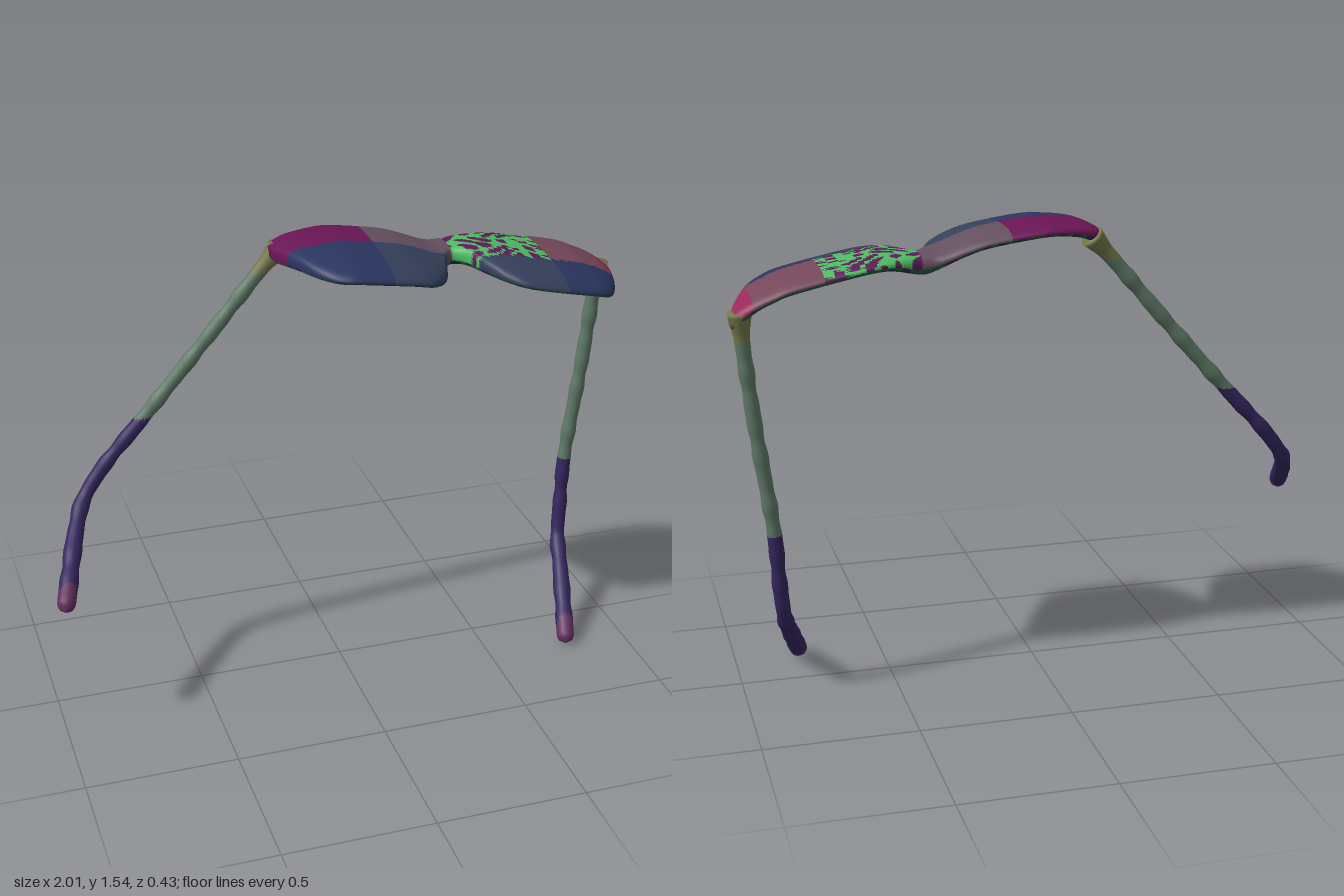
import * as THREE from 'three';

// Closed skin over a list of point rings, capped at both ends, facing outwards
function loft(rings) {
  const n = rings[0].length, pos = [], idx = [];
  rings.forEach(r => r.forEach(p => pos.push(p.x, p.y, p.z)));
  for (let i = 0; i < rings.length - 1; i++) {
    for (let j = 0; j < n; j++) {
      const a = i * n + j, b = i * n + (j + 1) % n;
      idx.push(a, b, a + n, b, b + n, a + n);
    }
  }
  [0, rings.length - 1].forEach((i, end) => {
    const c = new THREE.Vector3();
    rings[i].forEach(p => c.addScaledVector(p, 1 / n));
    const ci = pos.length / 3;
    pos.push(c.x, c.y, c.z);
    for (let j = 0; j < n; j++) {
      const a = i * n + j, b = i * n + (j + 1) % n;
      end ? idx.push(ci, a, b) : idx.push(ci, b, a);
    }
  });
  // signed volume tells whether the winding must be turned round
  const P = k => new THREE.Vector3().fromArray(pos, 3 * k);
  let volume = 0;
  for (let k = 0; k < idx.length; k += 3) {
    volume += P(idx[k]).dot(P(idx[k + 1]).cross(P(idx[k + 2])));
  }
  if (volume < 0) idx.reverse();
  const g = new THREE.BufferGeometry();
  g.setAttribute('position', new THREE.Float32BufferAttribute(pos, 3));
  g.setIndex(idx);
  g.computeVertexNormals();
  return g;
}

// Split a smooth skin into coloured patches that share its normals
function patches(geometry, zoneOf, zones, name) {
  const group = new THREE.Group();
  group.name = name;
  const pos = geometry.attributes.position, nor = geometry.attributes.normal;
  const src = geometry.index.array, lists = {};
  const c = new THREE.Vector3(), m = new THREE.Vector3(), v = new THREE.Vector3();
  for (let k = 0; k < src.length; k += 3) {
    c.set(0, 0, 0);
    m.set(0, 0, 0);
    for (let e = 0; e < 3; e++) {
      c.add(v.fromBufferAttribute(pos, src[k + e]));
      m.add(v.fromBufferAttribute(nor, src[k + e]));
    }
    const zone = zoneOf(c.divideScalar(3), m.normalize());
    (lists[zone] ||= []).push(src[k], src[k + 1], src[k + 2]);
  }
  for (const zone in lists) {
    const g = new THREE.BufferGeometry();
    g.setAttribute('position', pos);
    g.setAttribute('normal', nor);
    g.setIndex(lists[zone]);
    const mesh = new THREE.Mesh(g, new THREE.MeshStandardMaterial({ color: zones[zone] }));
    mesh.name = zone;
    group.add(mesh);
  }
  return group;
}

// Lens plate stations: x, back z, front z, crown height, thickness
const STATIONS = [
  [-0.195, -0.165, -0.12, 1.505, 0.03], [-0.18, -0.18, -0.06, 1.518, 0.05],
  [-0.14, -0.195, 0.06, 1.535, 0.05], [-0.1, -0.202, 0.14, 1.542, 0.047],
  [-0.05, -0.212, 0.188, 1.546, 0.045], [0.02, -0.218, 0.206, 1.546, 0.045],
  [0.18, -0.21, 0.206, 1.522, 0.046], [0.26, -0.2, 0.185, 1.498, 0.048],
  [0.32, -0.19, 0.12, 1.475, 0.052], [0.355, -0.182, 0.03, 1.466, 0.058],
  [0.38, -0.18, -0.03, 1.464, 0.062], [0.405, -0.18, -0.045, 1.464, 0.062],
  [0.44, -0.185, -0.01, 1.468, 0.06], [0.475, -0.192, 0.08, 1.469, 0.055],
  [0.52, -0.2, 0.155, 1.467, 0.05], [0.6, -0.213, 0.202, 1.455, 0.046],
  [0.8, -0.214, 0.206, 1.412, 0.046], [0.87, -0.207, 0.18, 1.386, 0.047],
  [0.92, -0.198, 0.1, 1.362, 0.049], [0.965, -0.186, -0.02, 1.332, 0.052],
  [0.99, -0.172, -0.1, 1.31, 0.045], [0.998, -0.155, -0.12, 1.298, 0.025],
];

const LENS_ZONES = {
  outerPurplePanel: 0x6a1655, innerMauvePanel: 0x64505f, lowerBluePanel: 0x2b3560,
  lowerSlatePanel: 0x35405c, greenMottle: 0x4dbb62, purpleMottle: 0x5d1a58,
  rosePanel: 0x75485a, cornerPink: 0x9a2858, underside: 0x245a40, undersideMottle: 0x38264f,
};

function lensZone(c, n) {
  const mottle = Math.sin(62 * c.x + 2 * Math.sin(40 * c.z)) * Math.sin(70 * c.z + 2 * Math.sin(33 * c.x));
  if (n.y < -0.25) return mottle > 0.4 ? 'undersideMottle' : 'underside';
  if (c.x < 0.4) {
    if (c.z > -0.02) return c.x < 0.12 ? 'lowerBluePanel' : 'lowerSlatePanel';
    return c.x < 0.12 ? 'outerPurplePanel' : 'innerMauvePanel';
  }
  if (c.z > 0.04) return c.x < 0.7 ? 'lowerSlatePanel' : 'lowerBluePanel';
  if (c.x < 0.7) return mottle > -0.1 ? 'greenMottle' : 'purpleMottle';
  return c.x > 0.93 ? 'cornerPink' : 'rosePanel';
}

// Thin curved plate holding both lenses and the bridge
function lensPlate() {
  const outline = new THREE.CatmullRomCurve3(
    STATIONS.map(s => new THREE.Vector3(s[0], s[1], s[2])), false, 'catmullrom', 0.5);
  const section = new THREE.CatmullRomCurve3(
    STATIONS.map(s => new THREE.Vector3(s[3], s[4], 0)), false, 'catmullrom', 0.5);
  const rings = [], steps = 150, half = 36;
  for (let i = 0; i <= steps; i++) {
    const o = outline.getPoint(i / steps), s = section.getPoint(i / steps), ring = [];
    for (let j = 0; j < 2 * half; j++) {
      const a = Math.PI * j / half, u = Math.cos(a);
      const z = (o.y + o.z) / 2 + u * (o.z - o.y) / 2;
      const bulge = Math.sqrt(Math.max(0, 1 - u ** 6)) * Math.sign(Math.sin(a));
      const crown = 0.035 * ((z + 0.1) / 0.3) ** 2;
      ring.push(new THREE.Vector3(o.x, s.x - crown - s.y / 2 + bulge * s.y / 2, z));
    }
    rings.push(ring);
  }
  return patches(loft(rings), lensZone, LENS_ZONES, 'lensPlate');
}

const ARM_ZONES = { hinge: 0x74784a, templeArm: 0x5f7867, earSleeve: 0x35275f, earTip: 0x63305f };

// Slightly uneven temple arm, flared at the hinge and rounded at the tip
function temple(name, points, sleeveY, hingeY) {
  const curve = new THREE.CatmullRomCurve3(points.map(p => new THREE.Vector3(...p)), false, 'centripetal');
  const steps = 110, sides = 18, length = curve.getLength();
  const frames = curve.computeFrenetFrames(steps), rings = [];
  for (let i = 0; i <= steps; i++) {
    // stations crowd together towards the tip so that it rounds off
    const t = i / steps, d = t * length, left = length - d;
    let r = 0.024 + 0.0015 * Math.sin(d * 42) + 0.001 * Math.sin(d * 71);
    r += 0.016 * Math.exp(-d / 0.04) + 0.006 * THREE.MathUtils.smoothstep(t, 0.6, 0.95);
    const q = Math.min(1, left / 0.032);
    r *= Math.max(0.02, Math.sqrt(1 - (1 - q) ** 2));
    const c = curve.getPointAt(t), ring = [];
    for (let j = 0; j < sides; j++) {
      const a = 2 * Math.PI * j / sides;
      ring.push(c.clone()
        .addScaledVector(frames.normals[i], r * Math.cos(a))
        .addScaledVector(frames.binormals[i], r * Math.sin(a)));
    }
    rings.push(ring);
  }
  const zone = c => c.y > hingeY ? 'hinge' : c.y > sleeveY ? 'templeArm' : c.z > 0.15 ? 'earTip' : 'earSleeve';
  return patches(loft(rings), zone, ARM_ZONES, name);
}

export function createModel() {
  const model = new THREE.Group();
  model.name = 'sunglasses';
  model.add(lensPlate());
  model.add(temple('rightTemple', [
    [-0.155, 1.495, -0.155], [-0.22, 1.425, -0.152], [-0.4, 1.215, -0.152], [-0.62, 0.965, -0.15],
    [-0.78, 0.79, -0.142], [-0.85, 0.7, -0.115], [-0.89, 0.64, -0.04], [-0.98, 0.485, 0.208],
  ], 0.96, 1.42));
  model.add(temple('leftTemple', [
    [0.968, 1.315, -0.15], [0.962, 1.22, -0.147], [0.935, 0.95, -0.145], [0.888, 0.58, -0.141],
    [0.876, 0.4, -0.128], [0.862, 0.28, -0.1], [0.84, 0.205, -0.015], [0.778, 0.022, 0.205],
  ], 0.58, 1.22));
  return model;
}
